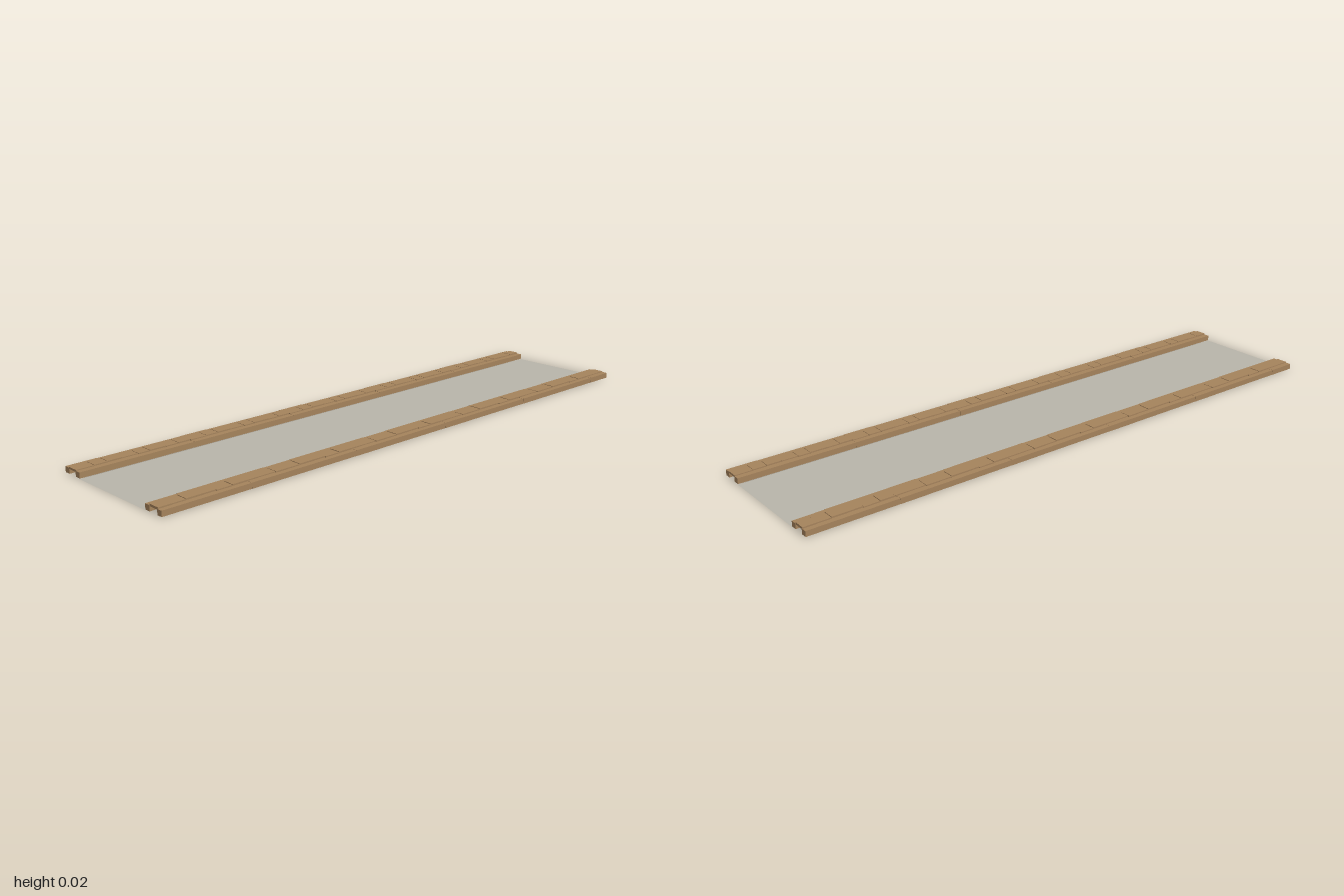
import * as THREE from 'three';

const wood = new THREE.MeshStandardMaterial({ color: 0xa5835c });
wood.name = 'wood';
const surface = new THREE.MeshStandardMaterial({ color: 0xb8b5aa, side: THREE.DoubleSide });
surface.name = 'pale surface';

// Box given by its minimum and maximum corners
function box(name, x0, x1, y0, y1, z0, z1) {
  const mesh = new THREE.Mesh(new THREE.BoxGeometry(x1 - x0, y1 - y0, z1 - z0), wood);
  mesh.position.set((x0 + x1) / 2, (y0 + y1) / 2, (z0 + z1) / 2);
  mesh.name = name;
  return mesh;
}

// One 0.4 long section of edging, centred on its own x = 0
function edgingSection() {
  const section = new THREE.Group();
  section.name = 'edgingSection';

  // Two rows of bearers, each made of butted timbers
  const joints = [[-0.2, 0.1, 0.2], [-0.2, -0.1, 0.2]];
  joints.forEach((row, r) => {
    const x = r ? 0.028 : -0.028;
    for (let i = 0; i < row.length - 1; i++) {
      const shift = i % 2 ? 0.0006 : 0;
      section.add(box('bearer', x - 0.0105 + shift, x + 0.0105 - shift,
        0.002, 0.0205 - shift, row[i], row[i + 1]));
    }
  });

  // Short cross planks of slightly uneven length and height
  const widths = [0.06, 0.045, 0.05, 0.055, 0.04, 0.06, 0.045, 0.045];
  let z = -0.2;
  widths.forEach((w, i) => {
    const jitter = ((i * 5) % 4) * 0.001;
    section.add(box('crossPlank', -0.0205 + jitter, 0.0185 + jitter,
      0.017, 0.0235 + (i % 3) * 0.0007, z, z + w - 0.0008));
    z += w;
  });
  return section;
}

export function createModel() {
  const model = new THREE.Group();
  model.name = 'edgedPath';

  // Edging on both sides, the right one turned half round
  for (const side of [-1, 1]) {
    const edging = new THREE.Group();
    edging.name = side > 0 ? 'leftEdging' : 'rightEdging';
    for (let i = -2; i <= 2; i++) {
      const section = edgingSection();
      section.position.z = i * 0.4;
      edging.add(section);
    }
    edging.position.x = side * 0.204;
    if (side < 0) edging.rotation.y = Math.PI;
    model.add(edging);
  }

  // Flat sheet between the edgings
  const sheet = new THREE.Mesh(new THREE.PlaneGeometry(0.332, 2), surface);
  sheet.rotation.x = -Math.PI / 2;
  sheet.name = 'pathSurface';
  model.add(sheet);
  return model;
}
